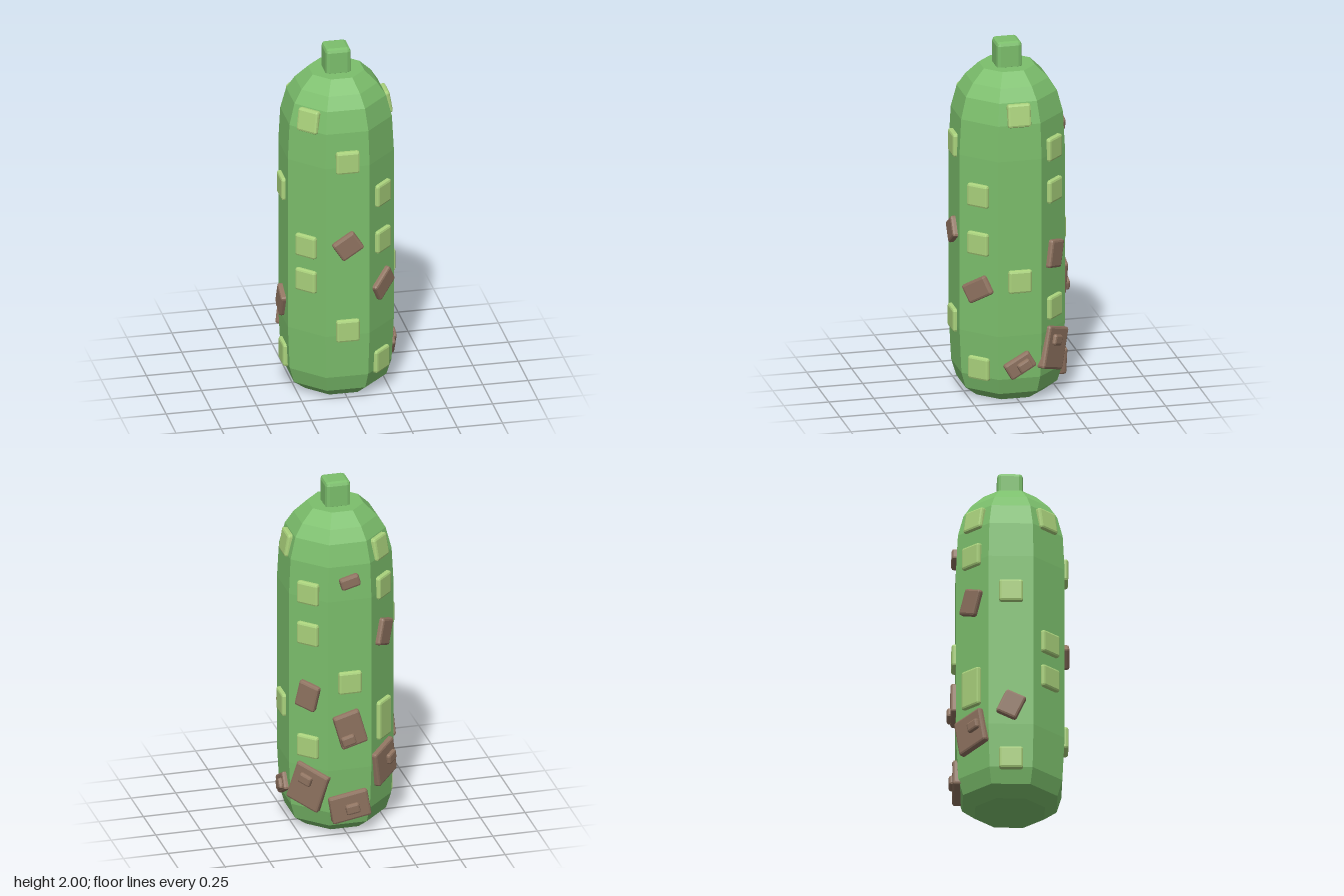
import * as THREE from 'three';
import { RoundedBoxGeometry } from 'three/addons/geometries/RoundedBoxGeometry.js';

const material = (color) => new THREE.MeshStandardMaterial({ color, flatShading: true });
const skin = material(0x7cbf6c);
const bumpGreen = material(0xaad27c);
const bark = material(0x8f7360);

// Box with single-step chamfered edges
function chamferBox(name, w, h, d, mat, bevel = 0.013) {
  const mesh = new THREE.Mesh(new RoundedBoxGeometry(w, h, d, 1, bevel), mat);
  mesh.name = name;
  return mesh;
}

// Body profile: [distance from axis to flat side, height]
const profile = [[0, 0.005], [0.188, 0.005], [0.255, 0.06], [0.281, 0.15], [0.293, 0.4],
  [0.293, 1.4], [0.283, 1.6], [0.253, 1.72], [0.21, 1.79], [0.142, 1.86], [0, 1.86]];

// Distance from axis to the flat side at a height
function surfaceAt(y) {
  for (let i = 2; i < profile.length - 1; i++) {
    const [r0, y0] = profile[i - 1], [r1, y1] = profile[i];
    if (y <= y1) return r0 + (r1 - r0) * (y - y0) / (y1 - y0);
  }
  return 0.142;
}

// Heights of the square green bumps, one list per side, counted from +z towards +x
const bumpHeights = [
  [1.43, 0.43],
  [1.19, 0.915, 0.2],
  [1.65, 0.71],
  [1.43, 1.19, 0.525],
  [0.915],
  [1.65, 1.43],
  [1.19, 0.2],
  [1.65, 0.915, 0.71],
];

// Brown patches: side, height, width, length, tilt in degrees, optional knob offset [x, y]
const patches = [
  [0, 0.935, 0.14, 0.12, 33],
  [1, 0.655, 0.165, 0.11, 30],
  [2, 0.23, 0.16, 0.1, 30, [0.02, -0.01]],
  [3, 0.825, 0.125, 0.155, -13],
  [3, 0.285, 0.205, 0.235, -18, [-0.02, 0.045]],
  [4, 1.51, 0.11, 0.07, 15],
  [4, 0.64, 0.15, 0.2, 16, [-0.03, -0.05]],
  [4, 0.18, 0.22, 0.16, 10, [0.01, -0.01]],
  [5, 1.155, 0.12, 0.15, -20],
  [5, 0.385, 0.2, 0.21, 12, [0.04, 0.01]],
  [6, 0.51, 0.12, 0.145, -25],
];

export function createModel() {
  const model = new THREE.Group();
  model.name = 'cucumber';
  const plant = new THREE.Group();
  plant.name = 'plant';
  plant.position.set(-0.008, 0, 0.008);
  model.add(plant);

  // Eight-sided body with flat sides facing the axes
  const points = profile.map(([r, y]) => new THREE.Vector2(r / Math.cos(Math.PI / 8), y));
  const body = new THREE.Mesh(new THREE.LatheGeometry(points, 8, Math.PI / 8), skin);
  body.name = 'body';
  plant.add(body);

  // Stem block
  const stem = chamferBox('stem', 0.14, 0.16, 0.14, skin, 0.021);
  stem.position.y = 1.92;
  plant.add(stem);

  // One turned group per side, with local +z pointing outwards
  const sides = bumpHeights.map((heights, i) => {
    const side = new THREE.Group();
    side.name = 'side' + (i + 1);
    side.rotation.y = i * Math.PI / 4;
    plant.add(side);
    for (const y of heights) {
      const bump = chamferBox('bump', 0.13, 0.13, 0.06, bumpGreen);
      bump.position.set(0, y, surfaceAt(y) - 0.007);
      if (y > 1.6) bump.rotation.x = -0.17;
      side.add(bump);
    }
    return side;
  });

  // Long double bump on the back
  const longBump = chamferBox('longBump', 0.13, 0.225, 0.06, bumpGreen);
  longBump.position.set(0, 0.645, 0.286);
  sides[5].add(longBump);

  // Tilted brown patches, some with a small knob
  for (const [side, y, w, h, tilt, knobAt] of patches) {
    const patch = new THREE.Group();
    patch.name = 'patch';
    patch.position.set(0, y, surfaceAt(y));
    patch.rotation.z = THREE.MathUtils.degToRad(tilt);
    patch.add(chamferBox('patchPlate', w, h, 0.056, bark));
    if (knobAt) {
      const knob = chamferBox('patchKnob', 0.078, 0.06, 0.04, bark, 0.012);
      knob.position.set(knobAt[0], knobAt[1], 0.028);
      patch.add(knob);
    }
    sides[side].add(patch);
  }
  return model;
}
